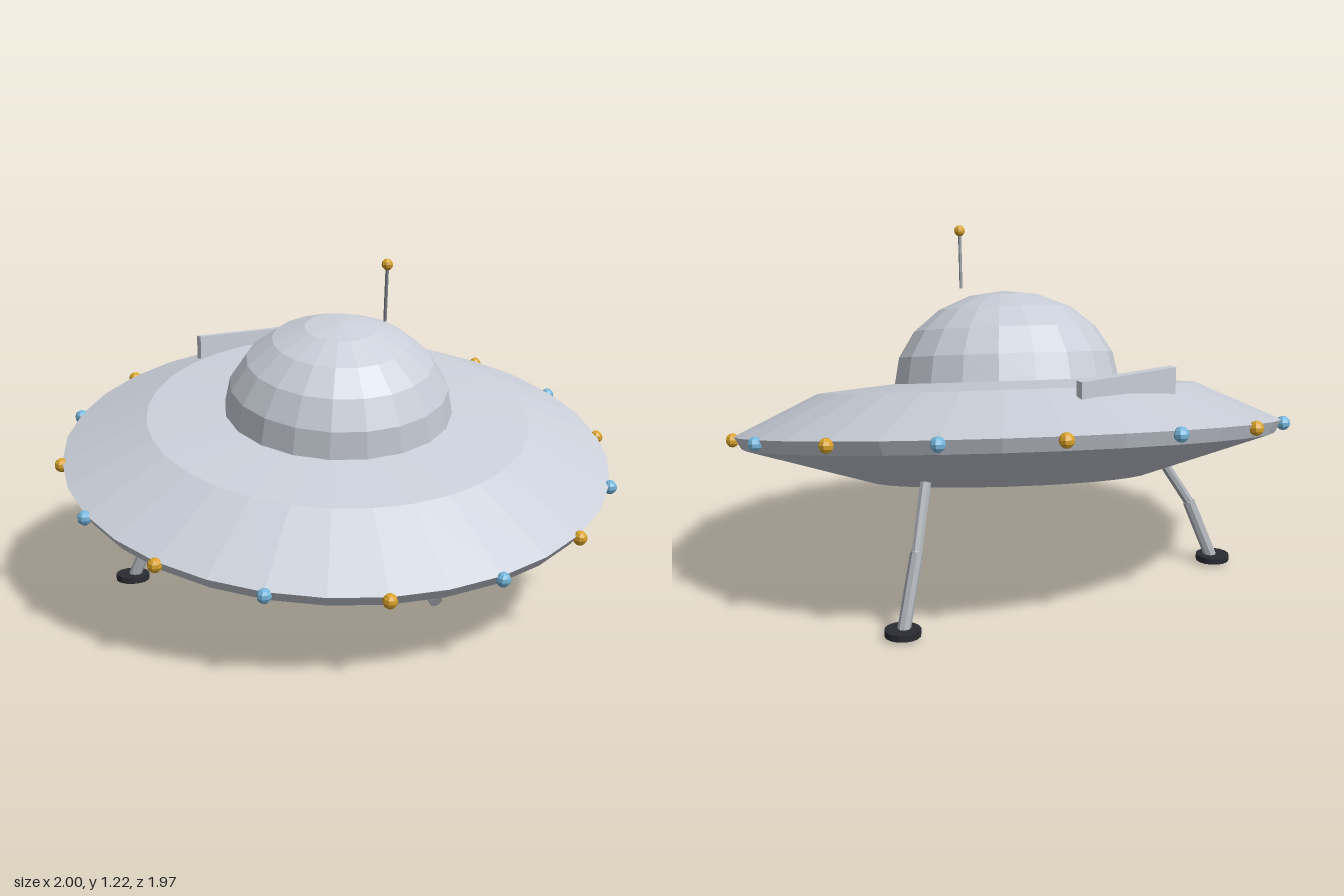
import * as THREE from 'three';

const mat = (name, color) => {
  const m = new THREE.MeshStandardMaterial({ color, flatShading: true });
  m.name = name;
  return m;
};

export function createModel() {
  const hullGrey = mat('hullGrey', 0xc8cdd7);
  const strutGrey = mat('strutGrey', 0xaeb3b9);
  const rodGrey = mat('rodGrey', 0x8c9096);
  const padBlack = mat('padBlack', 0x2b2c33);
  const lampGold = mat('lampGold', 0xd9a32b);
  const lampBlue = mat('lampBlue', 0x76b6dc);

  const model = new THREE.Group();
  model.name = 'flyingSaucer';
  const V = (x, y, z) => new THREE.Vector3(x, y, z);

  const add = (parent, name, geometry, material, pos) => {
    const mesh = new THREE.Mesh(geometry, material);
    mesh.name = name;
    if (pos) mesh.position.copy(pos);
    parent.add(mesh);
    return mesh;
  };

  // Cylinder running from a to b
  const rod = (parent, name, a, b, r, material) => {
    const dir = b.clone().sub(a);
    const mesh = add(parent, name, new THREE.CylinderGeometry(r, r, dir.length(), 8),
      material, a.clone().add(b).multiplyScalar(0.5));
    mesh.quaternion.setFromUnitVectors(V(0, 1, 0), dir.normalize());
  };

  // Everything on the saucer body shares its tilt
  const saucer = new THREE.Group();
  saucer.name = 'saucer';
  saucer.position.y = 0.507;
  saucer.rotation.set(0.211, 0, 0.1);
  model.add(saucer);

  // Disc hull with a narrow rim that slopes inward below
  const profile = [[0, -0.185], [0.5, -0.168], [0.95, -0.033], [0.977, 0.012], [0.68, 0.152], [0.4, 0.178], [0, 0.19]]
    .map(([r, h]) => new THREE.Vector2(r, h));
  add(saucer, 'hull', new THREE.LatheGeometry(profile, 32), hullGrey);

  // Flattened dome
  const dome = add(saucer, 'dome',
    new THREE.SphereGeometry(0.407, 20, 5, 0, Math.PI * 2, 0, Math.PI / 2), hullGrey, V(0, 0.168, 0));
  dome.scale.y = 0.82;

  // Rim lamps in alternating colours
  const lamp = new THREE.SphereGeometry(0.025, 8, 6);
  for (let i = 0; i < 16; i++) {
    const a = (i / 16) * Math.PI * 2;
    add(saucer, 'rimLamp', lamp, i % 2 ? lampGold : lampBlue,
      V(Math.sin(a) * 0.98, 0, Math.cos(a) * 0.98));
  }

  // Antenna with a ball tip
  const tip = V(0.05, 1.205, 0.24);
  rod(model, 'antennaRod', V(0.073, 1.003, 0.195), tip, 0.006, rodGrey);
  add(model, 'antennaTip', new THREE.SphereGeometry(0.02, 8, 6), lampGold, tip);

  // Upright rear fin
  add(model, 'rearFin', new THREE.BoxGeometry(0.38, 0.1, 0.03), hullGrey, V(-0.01, 0.796, -0.675));

  // Landing legs: hip, knee, ankle; the front one is folded and has no foot
  const legs = [
    { name: 'leftLeg', pts: [V(0.505, 0.5, -0.28), V(0.588, 0.26, -0.35), V(0.673, 0.01, -0.4)], pad: true },
    { name: 'rightLeg', pts: [V(-0.465, 0.38, -0.33), V(-0.55, 0.235, -0.37), V(-0.625, 0.01, -0.425)], pad: true },
    { name: 'frontLeg', pts: [V(-0.055, 0.25, 0.5), V(-0.06, 0.222, 0.6), V(-0.068, 0.163, 0.705)], pad: false },
  ];
  for (const { name, pts: [hip, knee, ankle], pad } of legs) {
    const leg = new THREE.Group();
    leg.name = name;
    model.add(leg);
    rod(leg, 'upperStrut', hip, knee, 0.019, strutGrey);
    rod(leg, 'lowerStrut', knee, ankle, 0.022, strutGrey);
    add(leg, 'knee', new THREE.SphereGeometry(0.02, 8, 6), strutGrey, knee);
    if (pad) add(leg, 'footPad', new THREE.CylinderGeometry(0.06, 0.06, 0.022, 16), padBlack, V(ankle.x, 0.023, ankle.z));
  }
  return model;
}
